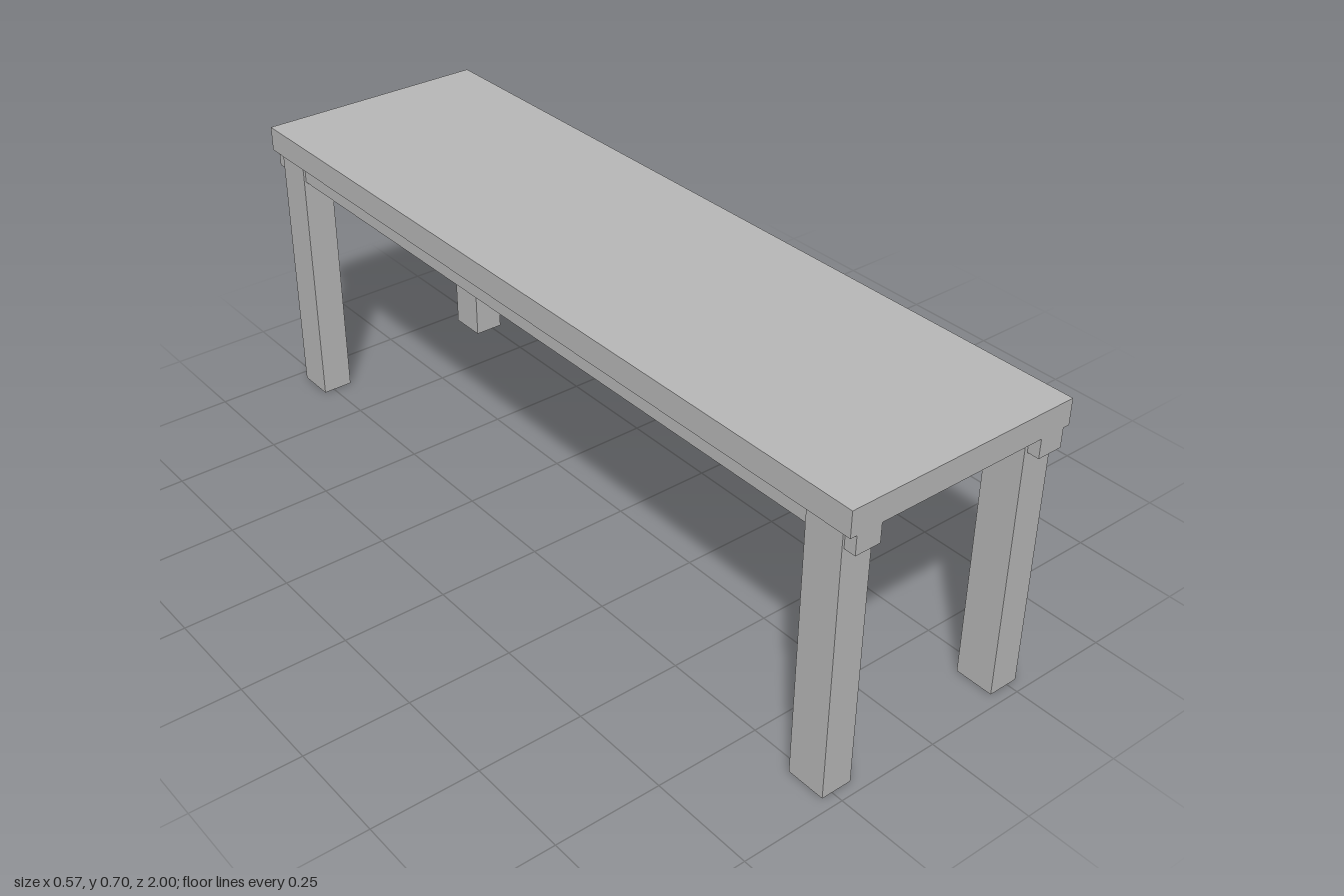
import * as THREE from 'three';

export function createModel() {
  const model = new THREE.Group();
  model.name = 'bench';

  const grey = new THREE.MeshStandardMaterial({ color: 0xb8b8b8 });
  grey.name = 'plain grey';

  // Box given by its size and centre
  function addBox(name, [w, h, d], [x, y, z]) {
    const mesh = new THREE.Mesh(new THREE.BoxGeometry(w, h, d), grey);
    mesh.name = name;
    mesh.position.set(x, y, z);
    model.add(mesh);
  }

  const underside = 0.645;
  const railHeight = 0.045;

  // Seat slab
  addBox('seat', [0.574, 0.06, 2], [0, underside + 0.03, 0]);

  for (const [side, sx] of [['left', 1], ['right', -1]]) {
    // Full-length rail under each long edge
    addBox(`${side}Rail`, [0.062, railHeight, 2], [sx * 0.24, underside - railHeight / 2, 0]);

    // Legs, slightly wider than the rail, reaching up to the seat
    for (const [end, sz] of [['Front', 1], ['Back', -1]]) {
      addBox(`${side}${end}Leg`, [0.075, underside, 0.094], [sx * 0.2385, underside / 2, sz * 0.925]);
    }
  }

  return model;
}
